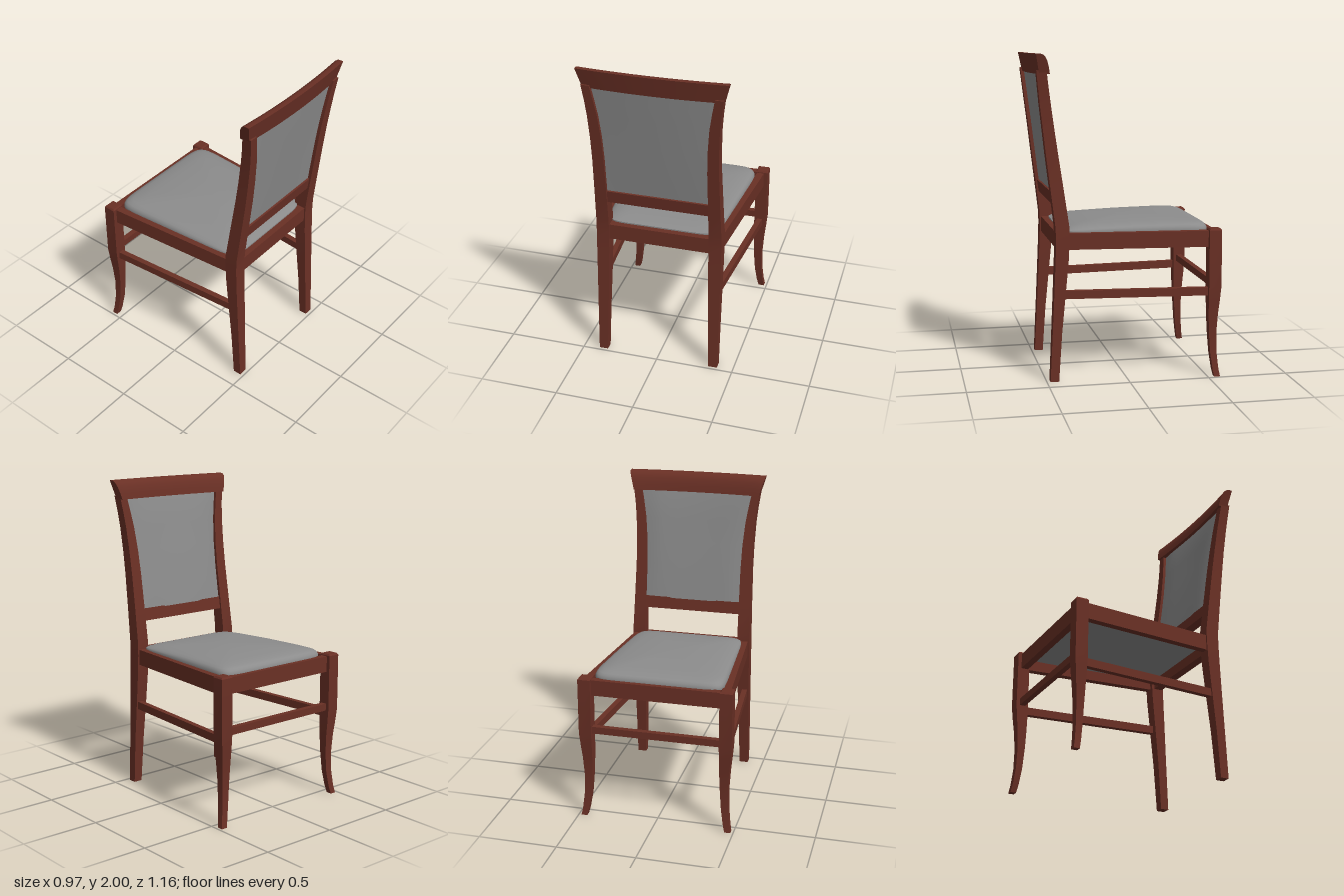
import * as THREE from 'three';
import { toCreasedNormals } from 'three/addons/utils/BufferGeometryUtils.js';

// Skin a list of equal-length rings and close both ends with fans.
function loft(rings, crease = 0.6) {
  const n = rings[0].length;
  const pos = [];
  const idx = [];
  rings.forEach((ring) => ring.forEach((p) => pos.push(...p)));
  for (let i = 0; i < rings.length - 1; i++) {
    for (let j = 0; j < n; j++) {
      const k = (j + 1) % n;
      const a = i * n + j, b = i * n + k, c = a + n, d = b + n;
      idx.push(a, b, d, a, d, c);
    }
  }
  [0, rings.length - 1].forEach((r, end) => {
    const centre = [0, 1, 2].map((k) => rings[r].reduce((s, p) => s + p[k], 0) / n);
    const c = pos.length / 3;
    pos.push(...centre);
    for (let j = 0; j < n; j++) {
      const a = r * n + j, b = r * n + ((j + 1) % n);
      if (end) idx.push(c, a, b);
      else idx.push(c, b, a);
    }
  });
  const geo = new THREE.BufferGeometry();
  geo.setAttribute('position', new THREE.Float32BufferAttribute(pos, 3));
  geo.setIndex(idx);
  return toCreasedNormals(geo, crease);
}

// Upright post from rows of [y, outer x, inner x, low z, high z], on side s.
function postGeometry(rows, s) {
  return loft(rows.map(([y, xo, xi, z0, z1]) => {
    const x0 = Math.min(s * xo, s * xi), x1 = Math.max(s * xo, s * xi);
    return [[x0, y, z1], [x1, y, z1], [x1, y, z0], [x0, y, z0]];
  }));
}

const backPost = [
  [0, 0.397, 0.34, 0.425, 0.478], [0.3, 0.399, 0.332, 0.405, 0.463],
  [0.55, 0.4, 0.325, 0.381, 0.451], [0.75, 0.401, 0.321, 0.362, 0.442],
  [0.88, 0.401, 0.32, 0.355, 0.438], [0.96, 0.4, 0.32, 0.356, 0.441],
  [1.17, 0.395, 0.32, 0.386, 0.466], [1.4, 0.391, 0.32, 0.42, 0.494],
  [1.55, 0.393, 0.325, 0.442, 0.511], [1.7, 0.4, 0.338, 0.463, 0.529],
  [1.8, 0.41, 0.354, 0.477, 0.54], [1.9, 0.424, 0.373, 0.49, 0.551],
];

const frontLeg = [
  [0, 0.483, 0.445, -0.577, -0.54], [0.05, 0.474, 0.433, -0.568, -0.53],
  [0.15, 0.463, 0.418, -0.558, -0.517], [0.28, 0.46, 0.409, -0.556, -0.508],
  [0.4, 0.467, 0.405, -0.563, -0.503], [0.48, 0.475, 0.404, -0.571, -0.501],
  [0.57, 0.483, 0.404, -0.578, -0.5], [0.925, 0.483, 0.404, -0.578, -0.5],
  [0.935, 0.476, 0.411, -0.571, -0.507],
];

export function createModel() {
  const group = new THREE.Group();
  const wood = new THREE.MeshStandardMaterial({ color: 0x6a3025 });
  wood.name = 'reddish brown wood';
  const fabric = new THREE.MeshStandardMaterial({ color: 0x8c8c8c });
  fabric.name = 'grey upholstery';

  const add = (name, geo, mat = wood) => {
    const mesh = new THREE.Mesh(geo, mat);
    mesh.name = name;
    group.add(mesh);
    return mesh;
  };
  const box = (name, x0, x1, y0, y1, z0, z1) => {
    const m = add(name, new THREE.BoxGeometry(x1 - x0, y1 - y0, z1 - z0));
    m.position.set((x0 + x1) / 2, (y0 + y1) / 2, (z0 + z1) / 2);
    return m;
  };
  // Horizontal bar running from the front leg to the back post
  const sideBar = (name, s, width, y0, y1, xFront, xBack) => {
    const dx = s * (xBack - xFront), dz = 0.9;
    const m = add(name, new THREE.BoxGeometry(width, y1 - y0, Math.hypot(dx, dz)));
    m.position.set(s * (xFront + xBack) / 2, (y0 + y1) / 2, -0.07);
    m.rotation.y = Math.atan2(dx, dz);
  };

  // Legs, side rails and side stretchers
  for (const s of [-1, 1]) {
    const side = s > 0 ? 'left' : 'right';
    add(side + 'BackPost', postGeometry(backPost, s));
    add(side + 'FrontLeg', postGeometry(frontLeg, s));
    sideBar(side + 'SeatRail', s, 0.045, 0.82, 0.92, 0.437, 0.367);
    sideBar(side + 'Stretcher', s, 0.035, 0.515, 0.565, 0.442, 0.372);
  }

  // Cross rails
  box('frontSeatRail', -0.42, 0.42, 0.82, 0.92, -0.555, -0.51);
  box('backSeatRail', -0.335, 0.335, 0.82, 0.92, 0.375, 0.43);
  box('frontStretcher', -0.42, 0.42, 0.565, 0.61, -0.555, -0.52);
  const low = box('lowerBackRail', -0.335, 0.335, 1.092, 1.172, 0.393, 0.45);
  low.rotation.x = 0.14;

  // Bowed top rail with a rounded front edge and flared ends: [y, z]
  const railSection = [
    [1.88, 0.556], [1.88, 0.492], [1.92, 0.499], [1.96, 0.51],
    [1.985, 0.524], [1.997, 0.54], [2, 0.552], [2, 0.578],
  ];
  const railRings = [];
  for (let i = 0; i <= 16; i++) {
    const u = i / 8 - 1;
    railRings.push(railSection.map(([y, z]) => {
      const flare = (y - 1.88) / 0.12;
      const half = 0.42 + 0.035 * Math.pow(flare, 1.15);
      return [u * half, y, z - 0.022 * u * u];
    }));
  }
  add('topRail', loft(railRings));

  // Padded back panel, flat behind and puffed towards the seat
  const panelRows = backPost.filter((r) => r[0] > 1.1);
  const panelRings = panelRows.map(([y, , xi, z0, z1], i) => {
    const half = xi + 0.008;
    const bow = 0.016 * (y - 1.17) / 0.7;
    const puff = i === 0 || i === panelRows.length - 1 ? 0.008 : 0.016;
    const ring = [];
    for (let k = 0; k <= 12; k++) {
      const u = k / 6 - 1;
      ring.push([u * half, y, z1 - 0.022 + bow * (1 - u * u)]);
    }
    for (let k = 12; k >= 0; k--) {
      const u = k / 6 - 1;
      ring.push([u * half, y, z0 + 0.02 + bow * (1 - u * u) - puff * (1 - Math.pow(u, 6))]);
    }
    return ring;
  });
  add('backPanel', loft(panelRings), fabric);

  // Domed trapezoid seat cushion: rings of [scale, y]
  const seatProfile = [
    [0.985, 0.885], [1, 0.915], [0.998, 0.928], [0.985, 0.942], [0.96, 0.953],
    [0.9, 0.962], [0.75, 0.97], [0.5, 0.977], [0.25, 0.981], [0.03, 0.982],
  ];
  const bend = (v) => Math.sign(v) * Math.pow(Math.abs(v), 0.2);
  const seatRings = seatProfile.map(([t, y]) => {
    const ring = [];
    for (let k = 0; k < 64; k++) {
      const a = (k / 64) * Math.PI * 2;
      const z = -0.067 - t * 0.458 * bend(Math.sin(a));
      const half = 0.418 - 0.063 * (z + 0.525) / 0.916;
      const sag = y > 0.93 ? 0.02 * Math.pow(Math.max(0, z + 0.3) / 0.69, 2) : 0;
      ring.push([t * half * bend(Math.cos(a)), y - sag * Math.min(1, (y - 0.93) / 0.02), z]);
    }
    return ring;
  });
  add('seatCushion', loft(seatRings, 0.9), fabric);

  return group;
}
